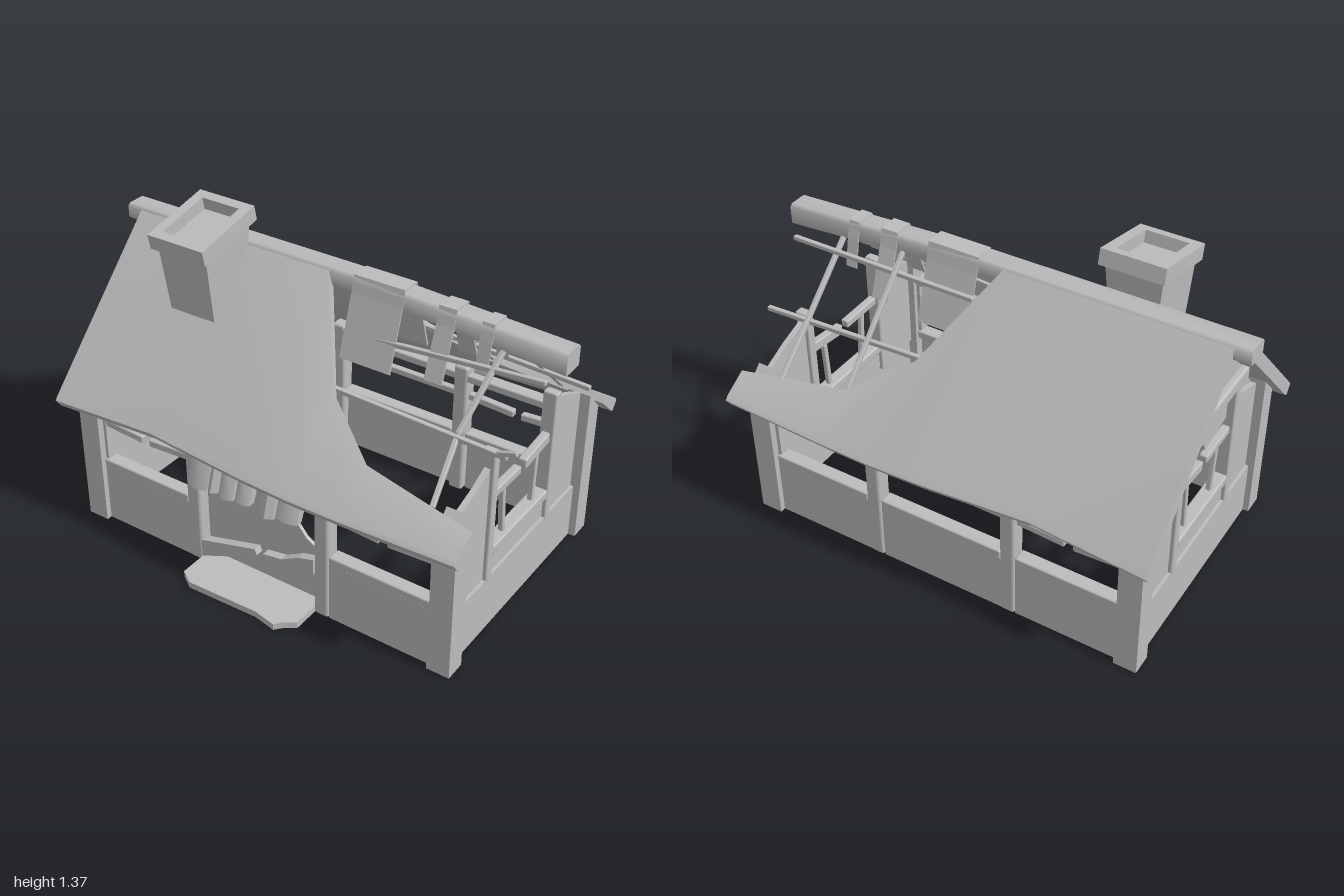
import * as THREE from 'three';
import { toCreasedNormals } from 'three/addons/utils/BufferGeometryUtils.js';
import { RoundedBoxGeometry } from 'three/addons/geometries/RoundedBoxGeometry.js';

const stone = new THREE.MeshStandardMaterial({ color: 0xbcbcbc });
stone.name = 'plain grey';

export function createModel() {
  const model = new THREE.Group();
  model.name = 'ruinedCottage';

  const add = (name, geo) => {
    const m = new THREE.Mesh(geo, stone);
    m.name = name;
    model.add(m);
    return m;
  };
  const box = (name, x0, x1, y0, y1, z0, z1) =>
    add(name, new THREE.BoxGeometry(x1 - x0, y1 - y0, z1 - z0)
      .translate((x0 + x1) / 2, (y0 + y1) / 2, (z0 + z1) / 2));
  // Squared log with worn, rounded edges
  const log = (name, x0, x1, y0, y1, z0, z1) => {
    const [w, h, d] = [x1 - x0, y1 - y0, z1 - z0];
    return add(name, new RoundedBoxGeometry(w, h, d, 2, Math.min(w, h, d) * 0.2)
      .translate((x0 + x1) / 2, (y0 + y1) / 2, (z0 + z1) / 2));
  };

  // Solid through a row of closed cross-sections, with end caps
  const loft = (name, rings, crease = 0.5) => {
    const tris = [], n = rings[0].length, last = rings.length - 1;
    for (let i = 0; i < last; i++) for (let j = 0; j < n; j++) {
      const k = (j + 1) % n, a = rings[i][j], b = rings[i][k], c = rings[i + 1][k], d = rings[i + 1][j];
      tris.push([a, b, c], [a, c, d]);
    }
    for (let j = 1; j < n - 1; j++) {
      tris.push([rings[0][0], rings[0][j + 1], rings[0][j]]);
      tris.push([rings[last][0], rings[last][j], rings[last][j + 1]]);
    }
    // Turn the corners round if the solid is inside out
    const v = (p) => new THREE.Vector3(...p);
    const volume = tris.reduce((s, [a, b, c]) => s + v(a).dot(v(b).cross(v(c))), 0);
    if (volume < 0) tris.forEach((t) => t.reverse());
    const geo = new THREE.BufferGeometry();
    geo.setAttribute('position', new THREE.Float32BufferAttribute(tris.flat(2), 3));
    return add(name, toCreasedNormals(geo, crease));
  };

  // Straight timber between two points
  const bar = (name, p, q, w, h = w) => {
    const a = new THREE.Vector3(...p), b = new THREE.Vector3(...q);
    const m = add(name, new RoundedBoxGeometry(w, h, a.distanceTo(b), 2, w * 0.2));
    m.position.copy(a).add(b).multiplyScalar(0.5);
    m.lookAt(b);
    return m;
  };

  // Flat panel from an outline, facing z or (side = true) facing x
  const outline = (pts) => pts.map((p) => new THREE.Vector2(...p));
  const panel = (name, pts, at, depth, side = false) => {
    const geo = new THREE.ExtrudeGeometry(new THREE.Shape(outline(pts)), { depth, bevelEnabled: false })
      .translate(0, 0, -depth / 2);
    if (side) geo.rotateY(-Math.PI / 2).translate(at, 0, 0);
    else geo.translate(0, 0, at);
    return add(name, geo);
  };

  const MID = -0.04; // ridge line in z

  // Roof slopes, torn away towards +x: x, top offset, top y, eave offset, eave y, torn edge thickness
  const roof = [
    [-0.93, 0.05, 1.2, 0.635, 0.59, 1], [-0.45, 0.05, 1.2, 0.61, 0.6, 1], [0, 0.05, 1.2, 0.637, 0.588, 1],
    [0.22, 0.33, 0.87, 0.64, 0.582, 0.5], [0.45, 0.465, 0.73, 0.64, 0.585, 0.5], [0.925, 0.525, 0.675, 0.637, 0.602, 0.6],
  ];
  for (const s of [1, -1]) {
    loft('roofSlope', roof.map(([x, td, ty, bd, by, t]) => [
      [x, ty, MID + s * td], [x, by + 0.012, MID + s * (bd - 0.012)], [x, by - 0.004, MID + s * bd],
      [x, by - 0.04, MID + s * (bd - 0.025)], [x, by - 0.035, MID + s * (bd - 0.04)],
      [x, ty - 0.045 * t, MID + s * (td - 0.03 * t)],
    ]), 1.1);
  }

  // Sagging ridge beam
  loft('ridgeBeam', [[-1, 1.148, 1.212], [0.1, 1.14, 1.21], [1, 1.08, 1.17]].map(([x, lo, hi]) => [
    [x, lo, -0.085], [x, lo + 0.006, -0.09], [x, hi - 0.012, -0.09], [x, hi, -0.078],
    [x, hi, -0.002], [x, hi - 0.012, 0.01], [x, lo + 0.006, 0.01], [x, lo, 0.005],
  ]), 0.9);

  // Leaning chimney with a hollow cap
  loft('chimneyShaft', [
    [[-0.595, 0.95, 0.237], [-0.38, 0.95, 0.237], [-0.38, 1.19, 0.015], [-0.595, 1.19, 0.015]],
    [[-0.605, 1.255, 0.283], [-0.37, 1.255, 0.283], [-0.37, 1.31, 0.01], [-0.605, 1.31, 0.01]],
  ]);
  const cap = new THREE.Shape(outline([[-0.133, -0.164], [0.133, -0.164], [0.133, 0.164], [-0.133, 0.164]]));
  cap.holes.push(new THREE.Path(outline([[-0.09, -0.122], [-0.09, 0.122], [0.09, 0.122], [0.09, -0.122]])));
  const capMesh = add('chimneyCap', new THREE.ExtrudeGeometry(cap, { depth: 0.065, bevelEnabled: false })
    .rotateX(-Math.PI / 2).translate(0, -0.065, 0));
  capMesh.position.set(-0.487, 1.333, 0.159);
  capMesh.rotation.x = 0.21;

  // Corner posts, tops cut to the roof pitch
  for (const sx of [1, -1]) for (const s of [1, -1]) {
    const zi = MID + s * 0.465, zo = MID + s * 0.555;
    loft('cornerPost', [0.788, 0.885].map((x) => [
      [sx * x, 0, zi], [sx * x, 0, zo], [sx * x, 0.6, zo], [sx * x, 0.69, zi]]));
  }

  // Long walls: studs, low walls, sills, jambs and rails
  for (const s of [1, -1]) {
    const z = MID + s * 0.505;
    const skin = MID + s * 0.518;
    for (const x of [-0.313, 0.303]) log('wallPost', x - 0.033, x + 0.033, 0, 0.62, z - 0.035, z + 0.035);
    for (const [a, b] of [[-0.79, -0.345], [0.335, 0.788]]) {
      const m = (a + b) / 2, jamb = a < 0 ? a + 0.008 : b - 0.008;
      box('lowWall', a, b, 0, 0.262, skin - 0.013, skin + 0.013);
      log('sill', a, b, 0.262, 0.3, z - 0.03, z + 0.03);
      box('jamb', jamb - 0.008, jamb + 0.008, 0.3, 0.57, z - 0.02, z + 0.02);
      bar('brokenRail', [a, 0.475, z], [m - 0.015, 0.463, z], 0.032);
      bar('brokenRail', [m + 0.02, 0.463, z], [b, 0.475, z], 0.032);
    }
    log('wallPlate', -0.79, 0.788, 0.55, 0.585, z - 0.03, z + 0.03);
  }
  const back = MID - 0.505;
  box('lowWall', -0.28, 0.27, 0, 0.262, back - 0.026, back);
  log('sill', -0.28, 0.27, 0.262, 0.3, back - 0.03, back + 0.03);
  log('rail', -0.28, 0.27, 0.46, 0.49, back - 0.015, back + 0.015);

  // Doorway: torn door panel, snapped plank and step
  panel('tornDoor', [[-0.28, 0], [0.27, 0], [0.27, 0.26], [0.2, 0.3], [0.15, 0.36], [0.12, 0.41], [0.04, 0.46], [-0.28, 0.46]], 0.44, 0.015);
  const planks = [
    [[-0.28, 0.03], [-0.28, 0.11], [-0.01, 0.185], [0, 0.16], [-0.02, 0.14]],
    [[0.02, 0.14], [0.12, 0.17], [0.27, 0.19], [0.27, 0.26], [0.2, 0.24], [0.12, 0.195], [0.03, 0.18]],
  ];
  planks.forEach((p) => panel('snappedPlank', p, 0.485, 0.035));
  const step = [[-0.28, 0.43], [0.27, 0.43], [0.27, 0.61], [0.225, 0.64], [0.2, 0.67], [0.1, 0.65], [-0.22, 0.66], [-0.28, 0.62]];
  loft('doorStep', [0, 0.028].map((y) => step.map(([x, z]) => [x, y, z])));

  // Thatch tufts hanging below the front eave
  for (const [a, b, y] of [[-0.27, -0.175, 0.44], [-0.17, -0.125, 0.45], [-0.12, -0.05, 0.445],
    [-0.04, 0.03, 0.455], [0.075, 0.14, 0.44], [0.15, 0.25, 0.46]]) {
    loft('hangingThatch', [[a, 0.49], [(a + b) / 2, 0.505], [b, 0.49]].map(([x, z]) => [
      [x, 0.57, z + 0.01], [x, 0.57, z + 0.045], [x, y, z + 0.085], [x, y, z + 0.055]]), 0.8);
  }

  // Gable ends: low wall, side panels, window frame and braces
  for (const x of [-0.835, 0.83]) {
    const skin = x + Math.sign(x) * 0.012;
    box('gableLowWall', skin - 0.013, skin + 0.013, 0, 0.245, -0.505, 0.425);
    box('gableApron', x - 0.012, x + 0.012, 0.245, 0.345, -0.25, 0.18);
    panel('gablePanel', [[0.425, 0.245], [0.425, 0.67], [0.3, 0.71], [0.22, 0.75], [0.22, 0.245]], x, 0.024, true);
    panel('gablePanel', [[-0.505, 0.245], [-0.505, 0.69], [-0.4, 0.74], [-0.29, 0.78], [-0.29, 0.245]], x, 0.024, true);
    for (const z of [0.2, -0.27]) log('windowPost', x - 0.03, x + 0.03, 0.235, 0.82, z - 0.02, z + 0.02);
    log('windowSill', x - 0.03, x + 0.03, 0.34, 0.382, -0.25, 0.18);
    bar('brokenRail', [x, 0.61, 0.18], [x, 0.605, -0.025], 0.035);
    bar('brokenRail', [x, 0.605, -0.06], [x, 0.625, -0.25], 0.035, 0.045);
    bar('windowBrace', [x, 0.38, 0.07], [x, 0.59, 0.09], 0.022);
    bar('windowBrace', [x, 0.38, -0.16], [x, 0.59, -0.17], 0.022);
  }
  log('gableHeader', -0.875, -0.8, 0.82, 0.88, -0.34, 0.26);
  panel('gableTop', [[0.24, 0.88], [MID, 1.15], [-0.32, 0.88]], -0.835, 0.025, true);
  // Torn plaster over the window of the closed gable
  panel('tornPlaster', [[0.3, 0.83], [0.4, 0.69], [0.25, 0.73], [0.18, 0.66], [0, 0.63], [-0.02, 0.67], [-0.1, 0.69],
    [-0.13, 0.75], [-0.25, 0.79], [-0.3, 0.83]], -0.82, 0.02, true);

  // Bare roof frame: battens along x and rafters up to the ridge
  bar('batten', [0.1, 0.99, 0.055], [0.95, 1.06, 0.055], 0.02);
  bar('batten', [0.1, 1.06, -0.14], [0.95, 1.06, -0.14], 0.02);
  bar('batten', [0.18, 0.87, 0.25], [0.92, 0.845, 0.25], 0.02);
  bar('battenTip', [0.88, 0.85, 0.25], [0.96, 0.88, 0.255], 0.018);
  bar('batten', [0.18, 0.87, -0.34], [0.95, 0.835, -0.34], 0.02);
  bar('rafter', [0.453, 1.13, -0.09], [0.453, 0.71, -0.51], 0.018);
  bar('rafter', [0.745, 1.1, -0.08], [0.745, 0.68, -0.54], 0.02);
  bar('bentRafter', [0.75, 1.1, 0], [0.715, 0.86, 0.24], 0.02);
  bar('bentRafter', [0.715, 0.86, 0.24], [0.745, 0.68, 0.45], 0.02);

  // Scraps of covering draped over the ridge
  for (const [a, b, top, low, reach] of [[0.11, 0.335, 1.213, 0.9, 0.14], [0.48, 0.555, 1.2, 0.93, 0.135], [0.66, 0.71, 1.19, 1, 0.085]]) {
    const arc = [[-reach, low], [-0.06, top - 0.07], [-0.042, top], [0.042, top], [0.06, top - 0.07], [reach, low]];
    const inner = arc.map(([z, y]) => [z * 0.94, y - 0.006]).reverse();
    for (let i = 0; i < 5; i++) {
      const quad = [arc[i], arc[i + 1], inner[4 - i], inner[5 - i]];
      loft('drapedScrap', [a, b].map((x) => quad.map(([z, y]) => [x, y, MID + z])));
    }
  }
  return model;
}
